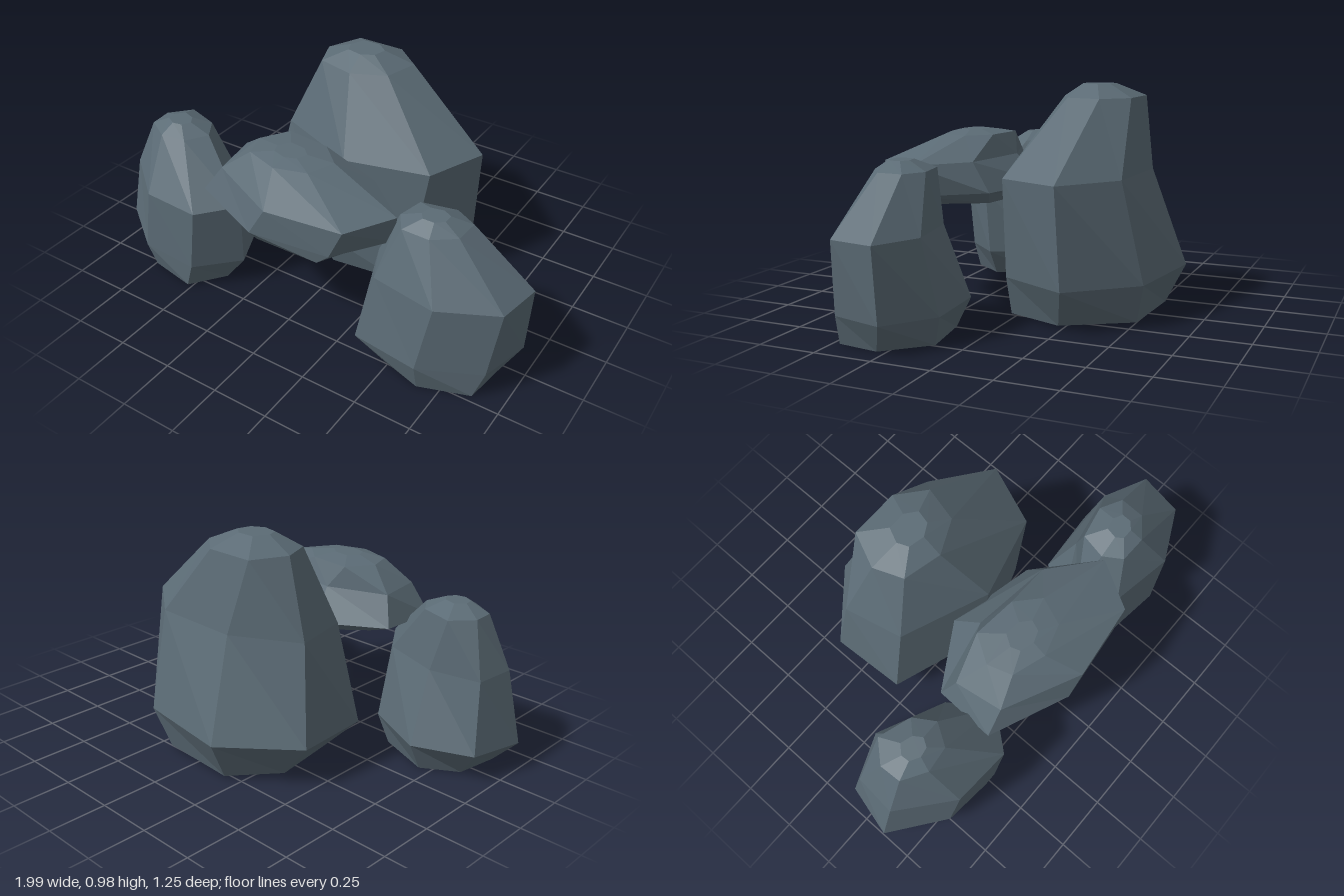
import * as THREE from 'three';

// Seven-sided cross-sections of the boulder, from base to crown: height, then [x, z] corners.
const SECTIONS = [
  [0.0, [[0.26, -0.25], [0.43, 0.03], [0.34, 0.28], [0.02, 0.32], [-0.22, 0.19], [-0.26, -0.08], [-0.1, -0.27]]],
  [0.18, [[0.32, -0.295], [0.555, -0.025], [0.405, 0.275], [0.015, 0.37], [-0.39, 0.23], [-0.41, -0.11], [-0.12, -0.355]]],
  [0.62, [[0.33, -0.2], [0.58, -0.01], [0.47, 0.26], [0.1, 0.355], [-0.29, 0.2], [-0.35, -0.06], [-0.07, -0.21]]],
  [0.943, [[0.08, -0.155], [0.2, -0.055], [0.16, 0.1], [0.01, 0.17], [-0.16, 0.13], [-0.21, 0], [-0.14, -0.155]]],
  [1.0, [[0.03, -0.045], [0.08, -0.005], [0.065, 0.055], [0.01, 0.085], [-0.06, 0.07], [-0.08, 0.02], [-0.05, -0.045]]],
];

// Joins the cross-sections into a closed faceted stone one unit tall.
function boulderGeometry() {
  const sides = 7;
  const points = [];
  const faces = [];
  for (const [y, ring] of SECTIONS) {
    for (const [x, z] of ring) points.push(x, y, z);
  }
  for (let r = 0; r < SECTIONS.length - 1; r++) {
    for (let j = 0; j < sides; j++) {
      const k = (j + 1) % sides;
      const a = r * sides + j, b = r * sides + k;
      const c = a + sides, d = b + sides;
      faces.push(a, c, d, a, d, b);
    }
  }
  // Flat base and crown
  const top = (SECTIONS.length - 1) * sides;
  for (let j = 1; j < sides - 1; j++) {
    faces.push(0, j, j + 1);
    faces.push(top, top + j + 1, top + j);
  }
  const indexed = new THREE.BufferGeometry();
  indexed.setAttribute('position', new THREE.Float32BufferAttribute(points, 3));
  indexed.setIndex(faces);
  const geometry = indexed.toNonIndexed();
  geometry.computeVertexNormals();
  return geometry;
}

export function createModel() {
  const group = new THREE.Group();
  group.name = 'rockPile';

  const slate = new THREE.MeshStandardMaterial({ color: 0x5b6b75 });
  slate.name = 'slate';
  slate.flatShading = true;

  // One stone, placed four times with its own size and turn
  const geometry = boulderGeometry();
  const rocks = [
    { name: 'backBoulder', position: [-0.08, 0.01, -0.26], scale: [1, 0.965, 1], turn: 0 },
    { name: 'leftBoulder', position: [0.6, 0, 0.33], scale: [0.695, 0.695, 0.695], turn: 0.21 },
    { name: 'rightBoulder', position: [-0.69, 0, 0.3], scale: [0.7, 0.695, 0.7], turn: -0.31 },
    { name: 'flatTopStone', position: [-0.065, 0.465, 0.335], scale: [0.9, 0.295, 0.8], turn: -0.1 },
  ];
  for (const { name, position, scale, turn } of rocks) {
    const rock = new THREE.Mesh(geometry, slate);
    rock.name = name;
    rock.position.set(...position);
    rock.scale.set(...scale);
    rock.rotation.y = turn;
    group.add(rock);
  }
  return group;
}
